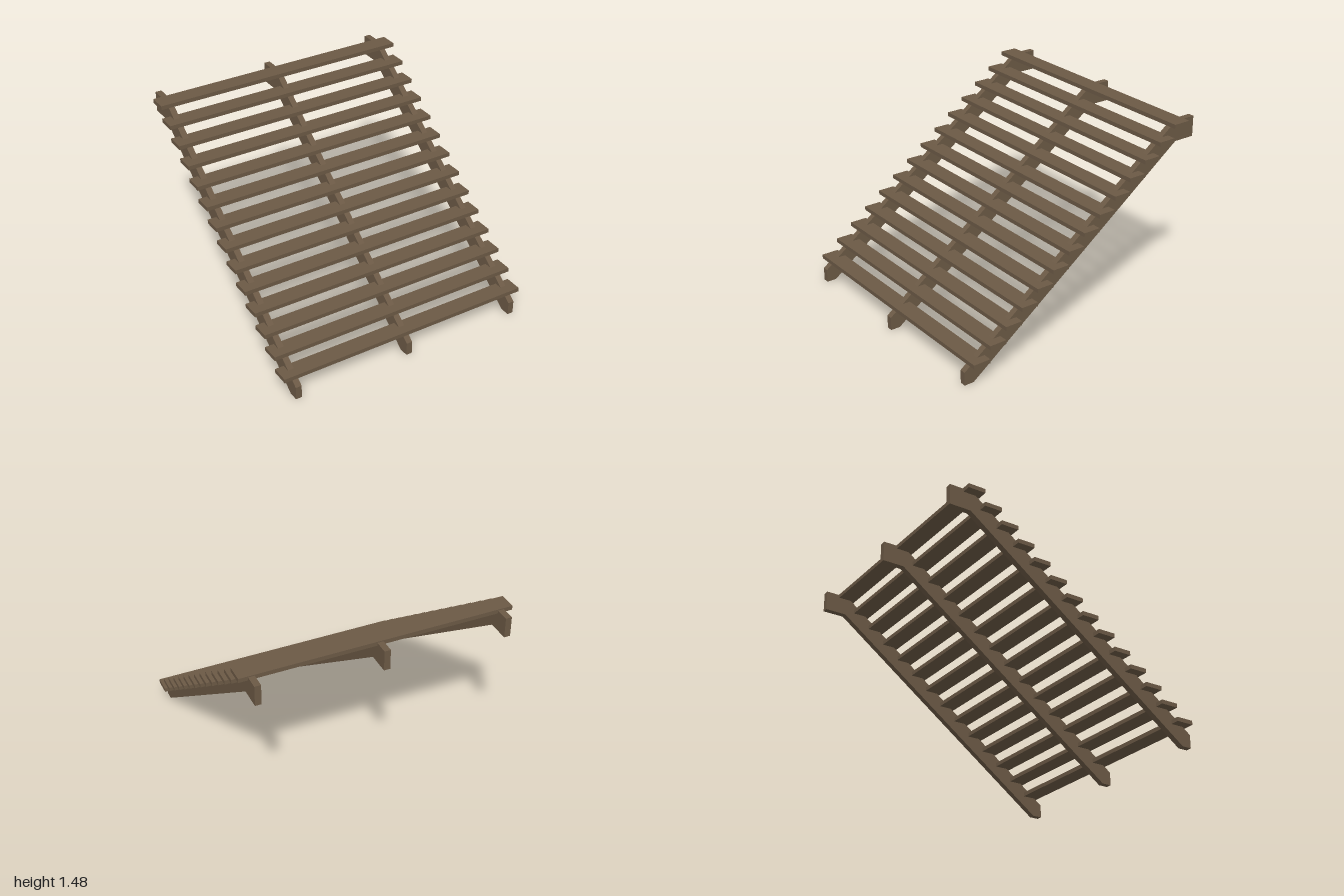
import * as THREE from 'three';

export function createModel() {
  const group = new THREE.Group();
  group.name = 'staircase';
  const wood = new THREE.MeshStandardMaterial({ color: 0x6b5945 });
  wood.name = 'brown wood';

  // Side profile of a stringer: shape x runs towards the back (-z)
  const width = 0.046;
  const profile = new THREE.Shape([
    [-1, 0], [-0.927, 0], [0.835, 1.315], [1, 1.315],
    [1, 1.468], [0.826, 1.468], [-1, 0.1],
  ].map(([x, y]) => new THREE.Vector2(x, y)));
  const stringerGeometry = new THREE.ExtrudeGeometry(profile, { depth: width, bevelEnabled: false });
  stringerGeometry.translate(0, 0, -width / 2);
  stringerGeometry.rotateY(Math.PI / 2);

  // Three stringers carry the treads
  [['rightStringer', -0.91], ['middleStringer', 0], ['leftStringer', 0.91]].forEach(([name, x]) => {
    const stringer = new THREE.Mesh(stringerGeometry, wood);
    stringer.name = name;
    stringer.position.x = x;
    group.add(stringer);
  });

  // Fourteen plank treads climbing to the back
  const treadGeometry = new THREE.BoxGeometry(2, 0.031, 0.133);
  for (let i = 0; i < 14; i++) {
    const tread = new THREE.Mesh(treadGeometry, wood);
    tread.name = `tread${i + 1}`;
    tread.position.set(0, 0.163 + i * 0.0998, 0.902 - i * 0.133);
    group.add(tread);
  }
  return group;
}
